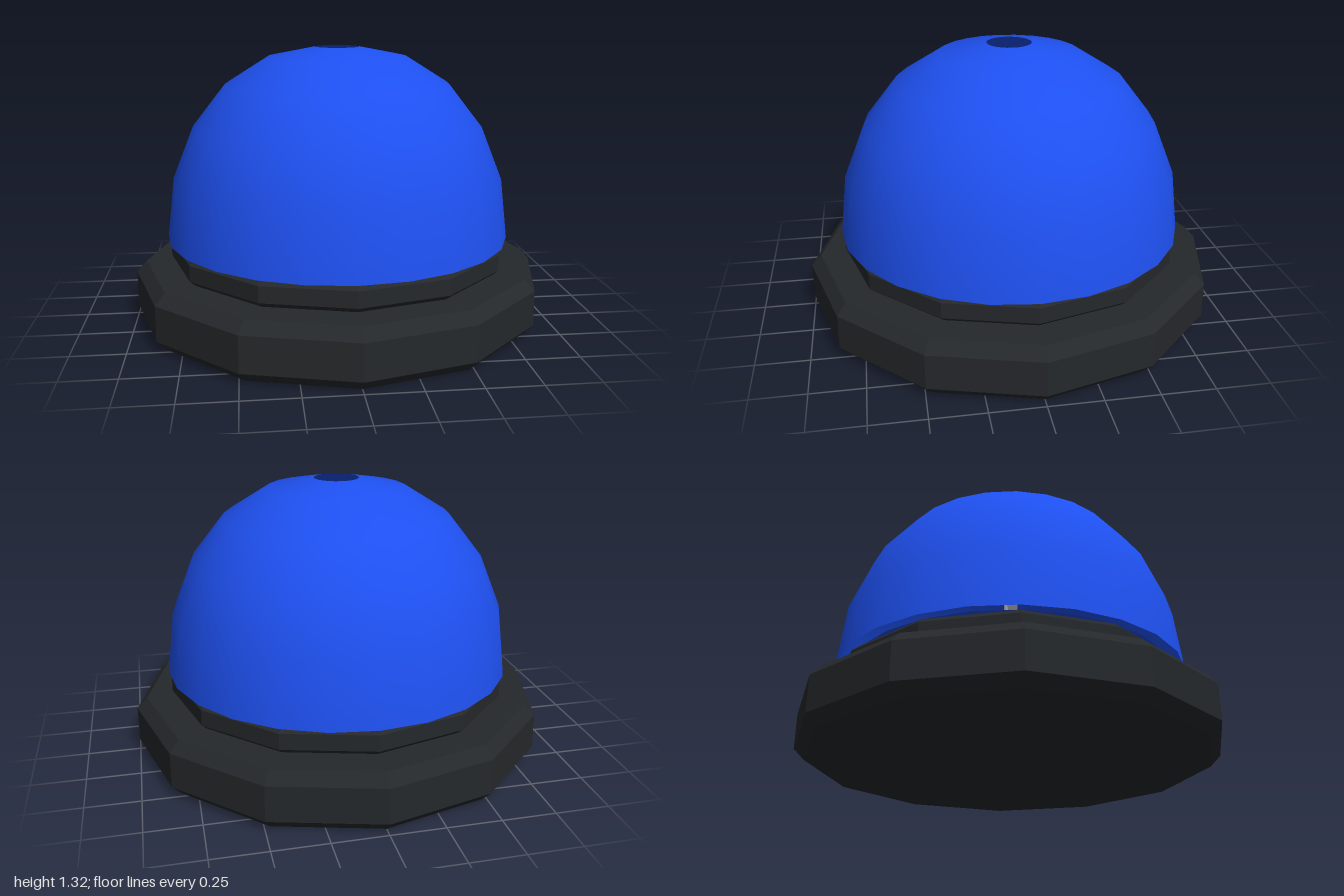
import * as THREE from 'three';

const pts = (list) => list.map(([r, y]) => new THREE.Vector2(r, y));

export function createModel() {
  const model = new THREE.Group();
  const black = new THREE.MeshStandardMaterial({ color: 0x25282b, flatShading: true });
  const blue = new THREE.MeshStandardMaterial({ color: 0x1e50f0, side: THREE.DoubleSide });
  const grey = new THREE.MeshStandardMaterial({ color: 0xcccccc, side: THREE.DoubleSide });

  const add = (name, geometry, material) => {
    const mesh = new THREE.Mesh(geometry, material);
    mesh.name = name;
    model.add(mesh);
    return mesh;
  };

  // Twelve-sided chamfered slab, closed at both ends
  const slab = (r, y0, y1, bevel, cy) => new THREE.LatheGeometry(pts([
    [0, y0], [r - bevel, y0], [r, y0 + cy], [r, y1 - cy], [r - bevel, y1], [0, y1],
  ]), 12);

  add('base', slab(1, 0, 0.272, 0.05, 0.052), black);
  add('collar', slab(0.825, 0.27, 0.4, 0.03, 0.027), black);

  // Open shell with a small hole at the crown
  add('dome', new THREE.LatheGeometry(pts([
    [0.837, 0.402], [0.802, 0.69], [0.7, 0.943], [0.543, 1.143], [0.335, 1.273], [0.107, 1.318],
  ]), 24), blue);

  // Floor inside the dome
  const floor = add('domeFloor', new THREE.CircleGeometry(0.78, 24), blue);
  floor.rotation.x = -Math.PI / 2;
  floor.position.y = 0.408;

  // Lamp post and shallow reflector dish facing the front
  const post = add('lampPost', new THREE.CylinderGeometry(0.03, 0.03, 0.55, 12), grey);
  post.position.y = 0.675;
  const dish = add('reflector', new THREE.LatheGeometry(pts([
    [0, -0.02], [0.06, -0.01], [0.12, 0.01], [0.17, 0.03],
  ]), 16), grey);
  dish.rotation.x = Math.PI / 2;
  dish.position.y = 0.83;

  return model;
}
